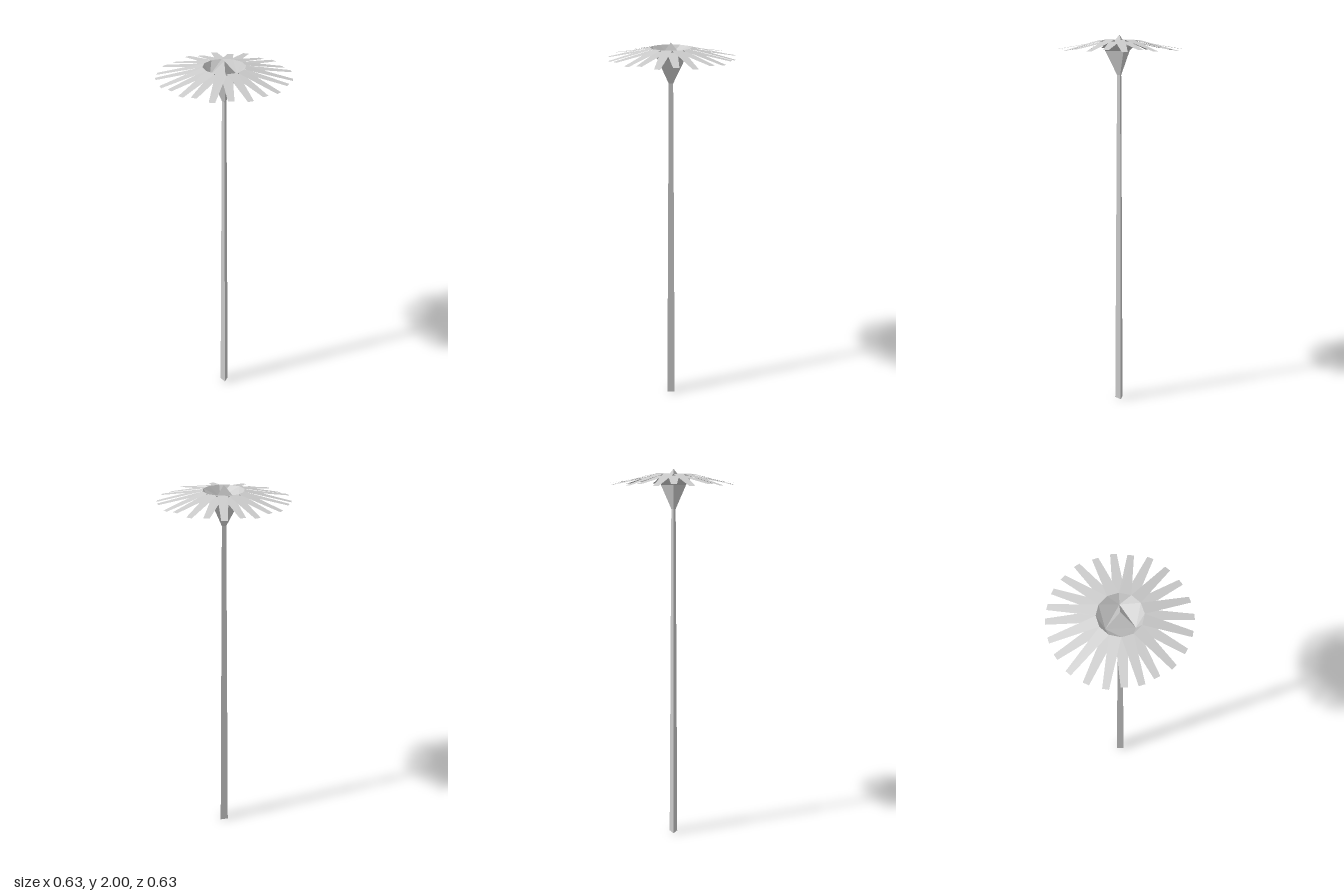
import * as THREE from 'three';

const material = new THREE.MeshStandardMaterial({ color: 0xcccccc, flatShading: true, side: THREE.DoubleSide });

// point at a compass angle measured from the back (-z) towards +x
const polar = (r, y, deg) => {
  const a = THREE.MathUtils.degToRad(deg);
  return new THREE.Vector3(Math.sin(a) * r, y, -Math.cos(a) * r);
};

function addFaces(parent, name, points) {
  const geometry = new THREE.BufferGeometry().setFromPoints(points);
  geometry.computeVertexNormals();
  const mesh = new THREE.Mesh(geometry, material);
  mesh.name = name;
  parent.add(mesh);
}

// three-sided prism section with one corner facing the back
function addTriangularSection(parent, name, rTop, rBottom, yTop, yBottom, open) {
  const geometry = new THREE.CylinderGeometry(rTop, rBottom, yTop - yBottom, 3, 1, open, Math.PI);
  geometry.translate(0, (yTop + yBottom) / 2, 0);
  const mesh = new THREE.Mesh(geometry, material);
  mesh.name = name;
  parent.add(mesh);
}

// petal tip centres (x, z), clockwise from the back
const tips = [
  [-0.015, -0.316], [0.061, -0.312], [0.146, -0.289], [0.218, -0.238], [0.27, -0.164], [0.304, -0.083],
  [0.316, 0.004], [0.304, 0.079], [0.269, 0.161], [0.214, 0.226], [0.14, 0.272], [0.076, 0.299],
  [0.002, 0.309], [-0.075, 0.31], [-0.155, 0.286], [-0.227, 0.232], [-0.277, 0.161], [-0.307, 0.08],
  [-0.318, -0.004], [-0.31, -0.077], [-0.285, -0.146], [-0.239, -0.216], [-0.177, -0.268], [-0.096, -0.302],
];

export function createModel() {
  const flower = new THREE.Group();
  flower.name = 'flower';

  // stem, calyx and the pointed centre
  addTriangularSection(flower, 'stem', 0.013, 0.025, 1.8, 0, false);
  addTriangularSection(flower, 'calyx', 0.075, 0.013, 1.92, 1.8, true);
  addTriangularSection(flower, 'centre', 0, 0.075, 2, 1.92, true);

  // bowl: triangular foot opening to a twelve-sided rim
  const rim = (k) => polar(0.103, 1.975, k * 30);
  const foot = (j) => polar(0.075, 1.92, j * 120);
  const bowl = [];
  for (let j = 0; j < 3; j++) {
    for (let k = 4 * j - 2; k < 4 * j + 2; k++) bowl.push(foot(j), rim(k), rim(k + 1));
    bowl.push(foot(j), rim(4 * j + 2), foot(j + 1));
  }
  addFaces(flower, 'bowl', bowl);

  // petals: odd ones sit on the rim edges, even ones just below between them
  const petals = new THREE.Group();
  petals.name = 'petals';
  tips.forEach(([x, z], i) => {
    const upper = i % 2 === 1;
    const baseY = upper ? 1.975 : 1.967;
    const a = polar(0.103, baseY, i * 15 - 15);
    const b = polar(0.103, baseY, i * 15 + 15);
    const tip = new THREE.Vector3(x, upper ? 1.922 : 1.931, z);
    const side = new THREE.Vector3(-z, 0, x).setLength(0.0145);
    const c = tip.clone().add(side);
    const d = tip.clone().sub(side);
    addFaces(petals, upper ? 'upperPetal' : 'lowerPetal', [a, d, c, a, c, b]);
  });
  flower.add(petals);

  return flower;
}
